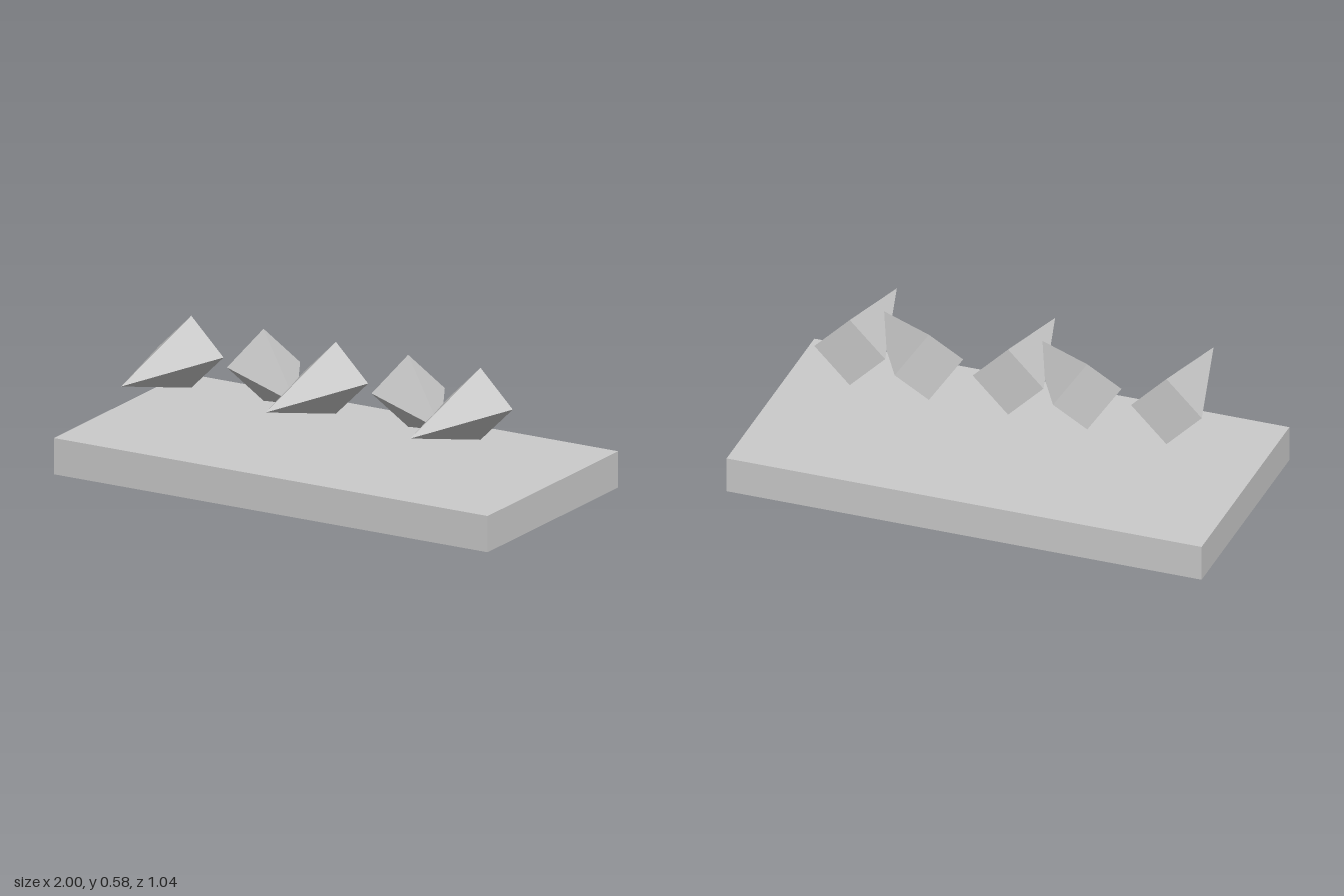
import * as THREE from 'three';

export function createModel() {
  const model = new THREE.Group();
  const material = new THREE.MeshStandardMaterial({ color: 0xcccccc, flatShading: true });

  // Flat slab
  const slab = new THREE.Mesh(new THREE.BoxGeometry(2, 0.15, 1), material);
  slab.name = 'baseSlab';
  slab.position.set(0, 0.075, -0.021);
  model.add(slab);

  // Four-sided spike lying along +z, with the centre of its base at the origin
  const length = 0.537;
  const spikeGeometry = new THREE.ConeGeometry(0.149, length, 4);
  spikeGeometry.translate(0, length / 2, 0);
  spikeGeometry.rotateX(Math.PI / 2);

  // Row of floating spikes, every second one turned 45 degrees
  for (let i = 0; i < 5; i++) {
    const turned = i % 2 === 1;
    const spike = new THREE.Mesh(spikeGeometry, material);
    spike.name = turned ? `turnedSpike${i + 1}` : `straightSpike${i + 1}`;
    spike.position.set((i - 2) / 3, 0.427, -0.02);
    spike.rotation.y = turned ? Math.PI / 4 : 0;
    model.add(spike);
  }

  return model;
}
